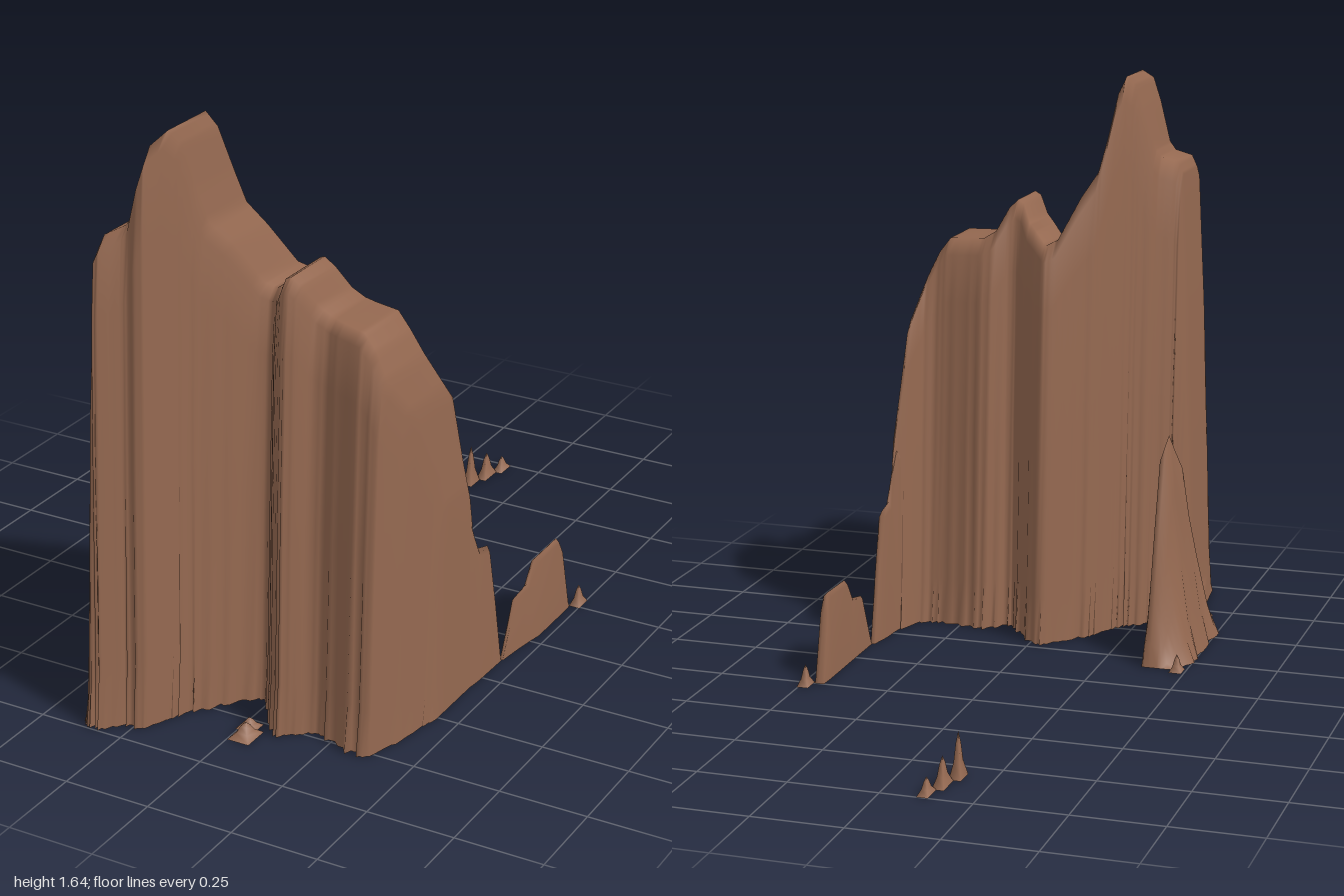
import * as THREE from 'three';

const rock = new THREE.MeshStandardMaterial({ color: 0x946850, side: THREE.DoubleSide });
rock.name = 'brown rock';

// Skin a series of cross-sections (rows of [x, y, z]) into one smooth open shell
function loft(name, rows) {
  const n = rows[0].length;
  const index = [];
  for (let i = 0; i < rows.length - 1; i++) {
    for (let j = 0; j < n - 1; j++) {
      const a = i * n + j, c = a + n;
      index.push(a, a + 1, c, a + 1, c + 1, c);
    }
  }
  const geo = new THREE.BufferGeometry();
  geo.setAttribute('position', new THREE.Float32BufferAttribute(rows.flat(2), 3));
  geo.setIndex(index);
  geo.computeVertexNormals();
  const mesh = new THREE.Mesh(geo, rock);
  mesh.name = name;
  return mesh;
}

// Repeatable noise in -1..1
const noise = (i, k) => {
  const s = Math.sin(i * 127.1 + k * 311.7) * 43758.5453;
  return 2 * (s - Math.floor(s)) - 1;
};

// Insert evenly spaced steps between stations
function subdivide(stations, steps) {
  const out = [];
  for (let i = 0; i < stations.length - 1; i++) {
    for (let s = 0; s < steps; s++) {
      out.push(stations[i].map((v, k) => THREE.MathUtils.lerp(v, stations[i + 1][k], s / steps)));
    }
  }
  out.push(stations[stations.length - 1]);
  return out;
}

function cliff() {
  // x, back z, front z, height
  const stations = [
    [-0.41, 0.67, 0.71, 0], [-0.385, 0.66, 0.96, 0.08], [-0.372, 0.64, 0.98, 0.5],
    [-0.355, 0.63, 0.99, 0.95], [-0.335, 0.62, 0.99, 1.34], [-0.32, 0.615, 0.985, 1.375],
    [-0.28, 0.58, 0.945, 1.395], [-0.265, 0.56, 0.935, 1.42], [-0.235, 0.54, 0.935, 1.54],
    [-0.215, 0.52, 0.925, 1.61], [-0.195, 0.49, 0.87, 1.638], [-0.178, 0.46, 0.83, 1.59],
    [-0.16, 0.42, 0.80, 1.47], [-0.14, 0.39, 0.775, 1.37],
    [-0.10, 0.35, 0.72, 1.30], [-0.05, 0.285, 0.66, 1.185], [-0.02, 0.27, 0.645, 1.17],
    [0.02, 0.31, 0.69, 1.20], [0.06, 0.37, 0.755, 1.215], [0.09, 0.41, 0.785, 1.265],
    [0.11, 0.42, 0.79, 1.275], [0.135, 0.41, 0.78, 1.25], [0.165, 0.375, 0.74, 1.185],
    [0.2, 0.37, 0.735, 1.163], [0.24, 0.38, 0.75, 1.16],
    [0.31, 0.39, 0.77, 1.155], [0.345, 0.39, 0.77, 1.11], [0.375, 0.37, 0.77, 1.04],
    [0.405, 0.30, 0.67, 0.92], [0.422, 0.27, 0.57, 0.72], [0.431, 0.25, 0.53, 0.6],
    [0.438, 0.24, 0.52, 0],
  ];
  const rows = subdivide(stations, 4).map(([x, zb, zf, h], i) => {
    // Fluted foot, fading out up the wall
    const b = 0.014 * noise(i, 1), f = 0.014 * noise(i, 2);
    const w = Math.min(1, (zf - zb) / 0.3);
    return [
      [0, 0, b], [0.012, 0.12, b * 0.5], [0.03, 0.5, b * 0.25], [0.052, 0.84, b * 0.15],
      [0.068, 0.96, 0], [0.1, 1, 0],
      [-0.105, 1, 0], [-0.075, 0.975, 0], [-0.058, 0.85, f * 0.15], [-0.034, 0.5, f * 0.25],
      [-0.012, 0.12, f * 0.5], [0, 0, f],
    ].map(([d, t, o], j) => [x, h * t, (j < 6 ? zb : zf) + d * w + o]);
  });
  return loft('cliffWall', rows);
}

// Rock with a steep inner face: stations run from front to back as z, height
function leftOutcrop() {
  const stations = [
    [0.565, 0], [0.55, 0.36], [0.525, 0.5], [0.44, 0.57], [0.36, 0.64],
    [0.32, 0.62], [0.27, 0.42], [0.22, 0.2], [0.17, 0],
  ];
  const rows = subdivide(stations, 3).map(([z, h], i) => {
    const s = 0.008 * noise(i, 5);
    const back = Math.max(0, 0.25 - z) * 0.5;
    return [
      [-0.5 + s + back, 0], [-0.472 + s * 0.5 + back, 0.18], [-0.44 + back * 0.5, 0.48],
      [-0.415, 0.72], [-0.394, 1], [-0.378, 0.92], [-0.37, 0.5], [-0.364 - back, 0],
    ].map(([x, t]) => [x, h * t, z]);
  });
  return loft('leftOutcrop', rows);
}

// Thin fin: stations are z, height, centre x, half width
function fin(name, stations) {
  return loft(name, stations.map(([z, h, x, w]) => [
    [x - w, 0, z], [x - w * 0.6, h * 0.95, z], [x, h, z], [x + w * 0.6, h * 0.95, z], [x + w, 0, z],
  ]));
}

// Small pointed stone with a flared, four-cornered foot
function spike(name, x, z, h, rx, rz) {
  const profile = [[1.3, 0], [0.65, 0.35], [0.35, 0.75], [0, 1]].map(([r, y]) => new THREE.Vector2(r, y));
  const mesh = new THREE.Mesh(new THREE.LatheGeometry(profile, 4, Math.PI / 4), rock);
  mesh.name = name;
  mesh.position.set(x, 0, z);
  mesh.scale.set(rx, h, rz);
  return mesh;
}

export function createModel() {
  const model = new THREE.Group();
  model.name = 'rockFormation';
  model.add(cliff(), leftOutcrop());

  // Low wall running back from the cliff, then a separate ridge
  model.add(fin('cliffTail', [
    [0.34, 0.56, 0.42, 0.014], [0.315, 0.54, 0.422, 0.016], [0.29, 0.47, 0.425, 0.016],
    [0.26, 0.4, 0.428, 0.015], [0.205, 0.385, 0.43, 0.014], [0.17, 0.2, 0.434, 0.011], [0.135, 0, 0.437, 0.008],
  ]));
  model.add(fin('backRidge', [
    [0.135, 0, 0.443, 0.006], [0.07, 0.165, 0.447, 0.009], [0, 0.178, 0.452, 0.014],
    [-0.04, 0.243, 0.456, 0.018], [-0.175, 0.245, 0.456, 0.018], [-0.2, 0.2, 0.456, 0.018], [-0.25, 0, 0.456, 0.016],
  ]));

  // Scattered stones
  [
    ['ridgeStone', 0.487, -0.27, 0.06, 0.018, 0.03],
    ['farStone', -0.155, -0.832, 0.125, 0.018, 0.032],
    ['farStone', -0.135, -0.9, 0.08, 0.018, 0.042],
    ['farStone', -0.115, -0.967, 0.045, 0.017, 0.036],
    ['frontStone', 0.035, 0.83, 0.042, 0.036, 0.044],
    ['frontStone', 0.02, 0.785, 0.03, 0.03, 0.03],
    ['leftStone', -0.475, 0.165, 0.05, 0.02, 0.025],
    ['leftStone', -0.42, 0.685, 0.06, 0.03, 0.03],
  ].forEach((s) => model.add(spike(...s)));

  return model;
}
